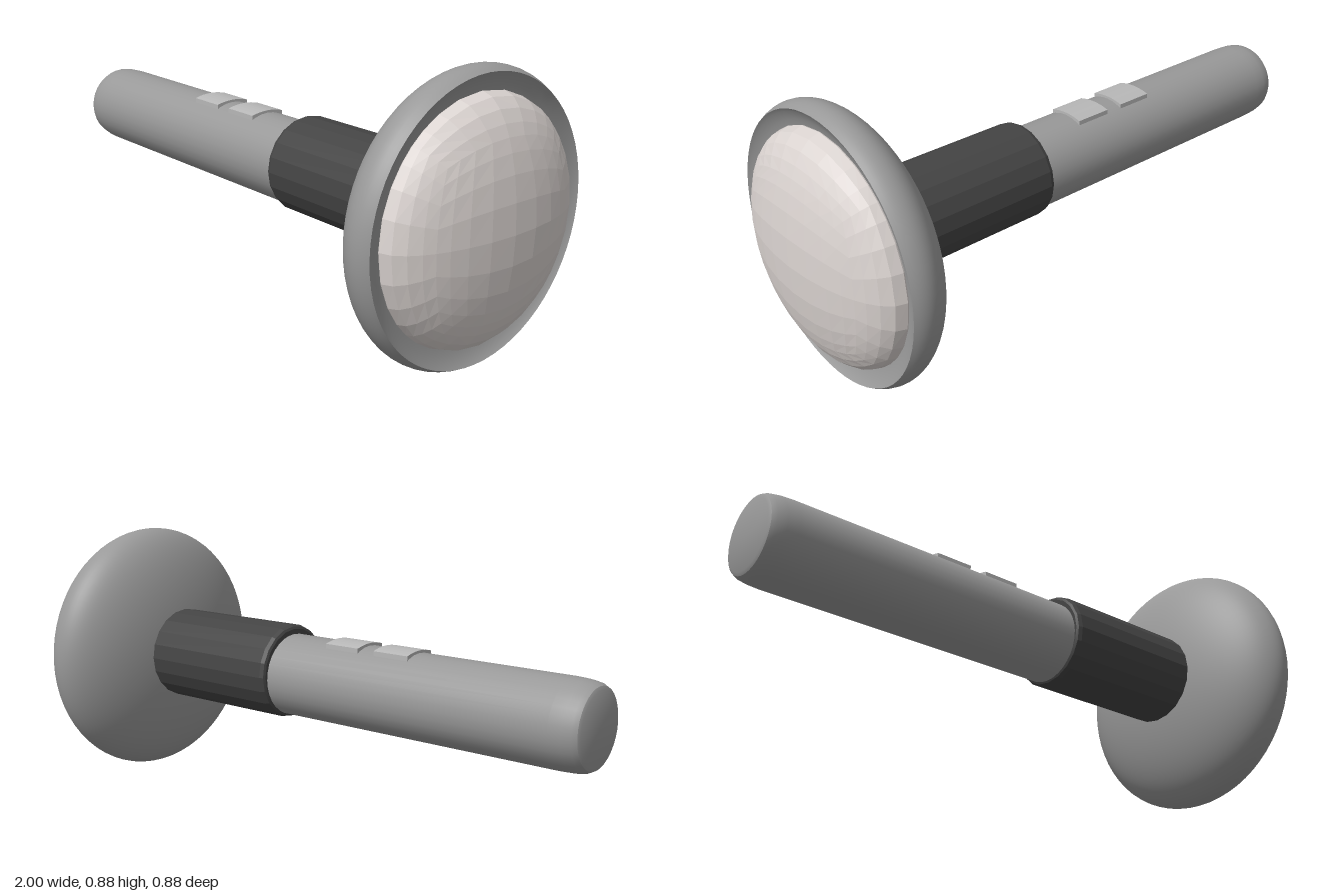
import * as THREE from 'three';
import { toCreasedNormals } from 'three/addons/utils/BufferGeometryUtils.js';

const AXIS_Y = 0.4415;

function part(name, geometry, color, flatShading = false) {
  const mesh = new THREE.Mesh(geometry, new THREE.MeshStandardMaterial({ color, flatShading }));
  mesh.name = name;
  return mesh;
}

// Turned solid lying along x, from [radius, x] pairs running from -x to +x
function turned(profile, sides, crease) {
  const points = profile.map(([r, x]) => new THREE.Vector2(r, x));
  const geometry = new THREE.LatheGeometry(points, sides).rotateZ(-Math.PI / 2);
  return toCreasedNormals(geometry, crease);
}

export function createModel() {
  const group = new THREE.Group();

  // Long grip with a softly rounded butt
  const handle = part('handle', turned([
    [0, -1], [0.112, -1], [0.122, -0.995], [0.13, -0.98],
    [0.135, -0.95], [0.137, -0.91], [0.137, 0.2], [0, 0.2],
  ], 32, 0.6), 0x999999);
  handle.position.y = 0.432;
  group.add(handle);

  // Dark, coarser-sided collar between grip and head
  const collar = part('collar', turned([
    [0, 0.128], [0.145, 0.128], [0.153, 0.132], [0.158, 0.145], [0.158, 0.7], [0, 0.7],
  ], 20, 0.2), 0x444444);
  collar.position.y = AXIS_Y;
  group.add(collar);

  // Half-ellipsoid housing, cut flat at the front with a shallow dished rim
  const housing = [];
  const centre = 0.833, depth = 0.185, radius = 0.4415, end = Math.asin((0.882 - centre) / depth);
  for (let i = 0; i <= 28; i++) {
    const a = -Math.PI / 2 + (end + Math.PI / 2) * i / 28;
    housing.push([Math.max(0, radius * Math.cos(a)), centre + depth * Math.sin(a)]);
  }
  housing.push([0.415, 0.873], [0.39, 0.862], [0.36, 0.853], [0, 0.85]);
  const head = part('headHousing', turned(housing, 64, 0.6), 0x999999);
  head.position.y = AXIS_Y;
  group.add(head);

  // Faceted lens: a cube rounded into a flattened ball
  const lensGeometry = new THREE.BoxGeometry(2, 2, 2, 8, 8, 8);
  const position = lensGeometry.attributes.position;
  const v = new THREE.Vector3();
  for (let i = 0; i < position.count; i++) {
    v.fromBufferAttribute(position, i).normalize();
    position.setXYZ(i, v.x * 0.14, v.y * 0.372, v.z * 0.372);
  }
  const lens = part('lens', lensGeometry, 0xdad3d0, true);
  lens.position.set(0.86, AXIS_Y, 0);
  group.add(lens);

  // Two thin buttons with a gently arched top
  const shape = new THREE.Shape();
  shape.moveTo(-0.063, 0.55);
  shape.lineTo(0.063, 0.55);
  shape.lineTo(0.063, 0.568);
  shape.quadraticCurveTo(0, 0.586, -0.063, 0.568);
  shape.closePath();
  [-0.32, -0.128].forEach((x, i) => {
    const geometry = new THREE.ExtrudeGeometry(shape, { depth: 0.13, bevelEnabled: false, curveSegments: 8 });
    geometry.translate(0, 0, -0.065).rotateY(Math.PI / 2);
    const button = part(i ? 'frontButton' : 'rearButton', geometry, 0xb8b8b8);
    button.position.x = x;
    group.add(button);
  });

  return group;
}
